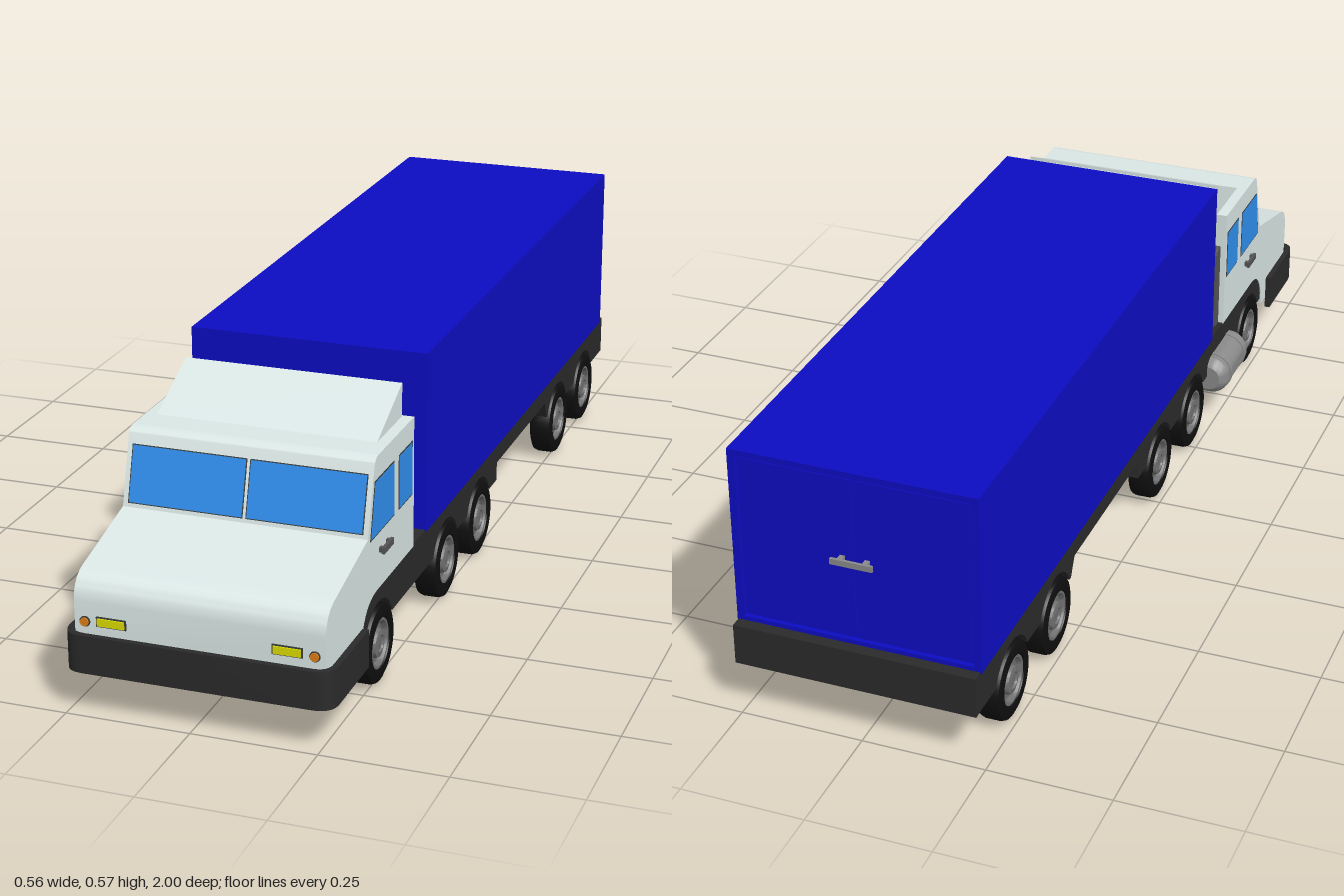
import * as THREE from 'three';
import { toCreasedNormals } from 'three/addons/utils/BufferGeometryUtils.js';

const mat = (color, side = THREE.FrontSide) => new THREE.MeshStandardMaterial({ color, side });
const M = {
  cab: mat(0xdbe8e6), cargo: mat(0x0d0dc4), dark: mat(0x2b2b2b), tyre: mat(0x0f0f0f, THREE.DoubleSide),
  glass: mat(0x2f8ff0), trim: mat(0x3a3f40), grey: mat(0x8a8a8a), steel: mat(0x555555),
  yellow: mat(0xdede00), orange: mat(0xe08018),
};

export function createModel() {
  const model = new THREE.Group();
  model.name = 'truck';
  const body = new THREE.Group();
  body.name = 'truckBody';
  body.position.x = 0.012; // the side tank widens one side only
  model.add(body);

  const add = (name, geo, material, x = 0, y = 0, z = 0, parent = body) => {
    const mesh = new THREE.Mesh(geo, material);
    mesh.name = name;
    mesh.position.set(x, y, z);
    parent.add(mesh);
    return mesh;
  };
  const box = (name, m, w, h, d, x, y, z) => add(name, new THREE.BoxGeometry(w, h, d), m, x, y, z);
  // Side profile in (z, y), extruded across x from x0 to x1
  const prism = (name, m, profile, x0, x1) => {
    const shape = Array.isArray(profile) ? new THREE.Shape(profile.map(p => new THREE.Vector2(...p))) : profile;
    let geo = new THREE.ExtrudeGeometry(shape, { depth: x1 - x0, bevelEnabled: false, curveSegments: 10 });
    geo.rotateY(-Math.PI / 2).translate(x1, 0, 0);
    return add(name, toCreasedNormals(geo, 0.6), m);
  };
  const rod = (name, m, r, len, x, y, z, axis = 'x', seg = 24) => {
    const geo = new THREE.CylinderGeometry(r, r, len, seg);
    if (axis === 'x') geo.rotateZ(Math.PI / 2);
    if (axis === 'z') geo.rotateX(Math.PI / 2);
    return add(name, geo, m, x, y, z);
  };

  const W = 0.247; // half width of cab and cargo box
  const wheelZ = [0.683, 0.265, 0.035, -0.593, -0.823];

  // Chassis: central pan with dropped axle sections
  prism('chassisPan', M.dark, [
    [-1, 0.2], [-1, 0.115], [-0.95, 0.115], [-0.9, 0.06], [-0.535, 0.06], [-0.485, 0.155], [-0.1, 0.155],
    [-0.1, 0.115], [-0.06, 0.06], [0.33, 0.06], [0.38, 0.11], [0.56, 0.11], [0.61, 0.06], [0.76, 0.06],
    [0.8, 0.095], [0.97, 0.095], [0.97, 0.16], [0.8, 0.2],
  ], -0.176, 0.176);

  // Outer skirts with an arch over every wheel
  const skirt = new THREE.Shape();
  const arch = z => skirt.absarc(z, 0.08, 0.088, Math.PI - 0.409, 0.409, true);
  skirt.moveTo(-1, 0.2);
  skirt.lineTo(-1, 0.115);
  arch(wheelZ[4]);
  arch(wheelZ[3]);
  [[-0.505, 0.115], [-0.485, 0.155], [-0.1, 0.155], [-0.1, 0.115]].forEach(p => skirt.lineTo(...p));
  arch(wheelZ[2]);
  arch(wheelZ[1]);
  arch(wheelZ[0]);
  skirt.lineTo(0.785, 0.115);
  skirt.lineTo(0.785, 0.2);
  skirt.closePath();
  prism('rightSkirt', M.dark, skirt, -W + 0.002, -0.176);
  prism('leftSkirt', M.dark, skirt, 0.176, W - 0.002);

  // Wheels: lathed tyre and stepped dish, the outer face toward +y before turning
  const v = pts => pts.map(p => new THREE.Vector2(...p));
  const tyreGeo = toCreasedNormals(new THREE.LatheGeometry(v([
    [0, -0.024], [0.068, -0.026], [0.077, -0.022], [0.08, -0.014], [0.08, 0.014],
    [0.077, 0.022], [0.068, 0.026], [0.052, 0.024], [0.047, 0.01],
  ]), 36), 0.7);
  const rimGeo = toCreasedNormals(new THREE.LatheGeometry(v([
    [0.05, 0.01], [0.05, 0.022], [0.045, 0.022], [0.04, 0.012], [0.03, 0.012], [0.027, 0.022],
    [0.017, 0.024], [0.015, 0.02], [0, 0.02],
  ]), 36), 0.5);
  const rimMat = mat(0x707070, THREE.DoubleSide);
  for (const z of wheelZ) {
    rod('axle', M.grey, 0.016, 0.42, 0, 0.078, z);
    for (const s of [-1, 1]) {
      const wheel = new THREE.Group();
      wheel.name = s > 0 ? 'leftWheel' : 'rightWheel';
      wheel.position.set(s * 0.226, 0.081, z);
      wheel.rotation.z = -s * Math.PI / 2;
      body.add(wheel);
      add('tyre', tyreGeo, M.tyre, 0, 0, 0, wheel);
      add('rim', rimGeo, rimMat, 0, 0, 0, wheel);
    }
  }

  // Cab shell
  const cab = new THREE.Shape();
  cab.moveTo(0.48, 0.198);
  cab.lineTo(0.7, 0.198);
  cab.quadraticCurveTo(0.782, 0.195, 0.79, 0.1);
  cab.lineTo(0.975, 0.1);
  cab.lineTo(0.977, 0.225);
  cab.bezierCurveTo(0.974, 0.26, 0.955, 0.275, 0.92, 0.281);
  cab.lineTo(0.75, 0.322);
  cab.lineTo(0.713, 0.453);
  cab.quadraticCurveTo(0.708, 0.469, 0.69, 0.469);
  cab.lineTo(0.48, 0.469);
  cab.closePath();
  prism('cab', M.cab, cab, -W, W);

  // Side windows on both doors
  prism('frontWindowSeal', M.trim, [[0.738, 0.312], [0.712, 0.424], [0.6, 0.424], [0.6, 0.312]], -W - 0.0008, W + 0.0008);
  prism('frontSideWindow', M.glass, [[0.734, 0.315], [0.71, 0.421], [0.603, 0.421], [0.603, 0.315]], -W - 0.0016, W + 0.0016);
  prism('rearWindowSeal', M.trim, [[0.573, 0.312], [0.573, 0.424], [0.491, 0.424], [0.491, 0.312]], -W - 0.0008, W + 0.0008);
  prism('rearSideWindow', M.glass, [[0.57, 0.315], [0.57, 0.421], [0.494, 0.421], [0.494, 0.315]], -W - 0.0016, W + 0.0016);

  for (const s of [-1, 1]) {
    // Windscreen half, tilted with the cab front
    box('windscreenSeal', M.trim, 0.234, 0.114, 0.004, s * 0.12, 0.384, 0.7315).rotation.x = -0.275;
    box('windscreen', M.glass, 0.23, 0.11, 0.006, s * 0.12, 0.384, 0.7315).rotation.x = -0.275;
    // Door handle
    box('doorHandle', M.steel, 0.006, 0.013, 0.055, s * 0.256, 0.276, 0.662);
    for (const dz of [-0.02, 0.02]) box('handlePost', M.steel, 0.012, 0.01, 0.01, s * 0.25, 0.276, 0.662 + dz);
    // Headlight and turn signal
    box('headlightFrame', M.trim, 0.06, 0.02, 0.006, s * 0.173, 0.188, 0.976);
    box('headlight', M.yellow, 0.054, 0.015, 0.012, s * 0.173, 0.188, 0.976);
    rod('signalRing', M.trim, 0.0105, 0.006, s * 0.226, 0.185, 0.976, 'z');
    rod('turnSignal', M.orange, 0.0085, 0.012, s * 0.226, 0.185, 0.976, 'z');
    // Deflector cheek
    const x = s * 0.221;
    prism('deflectorCheek', M.cab, [[0.635, 0.467], [0.485, 0.536], [0.485, 0.467]], x - 0.003, x + 0.003);
  }
  // Sloping roof deflector, open at the back
  prism('roofDeflector', M.cab, [[0.635, 0.467], [0.485, 0.537], [0.485, 0.53], [0.62, 0.467]], -0.224, 0.224);

  // Panel behind the cab
  const panel = new THREE.Shape();
  panel.moveTo(0.481, 0.198);
  panel.lineTo(0.481, 0.392);
  panel.lineTo(0.47, 0.392);
  panel.quadraticCurveTo(0.456, 0.39, 0.456, 0.375);
  panel.lineTo(0.456, 0.198);
  prism('rearCabPanel', M.steel, panel, -0.235, 0.235);

  // Wrap-around bumper, a thin rounded U
  const U = new THREE.Shape();
  const o = 0.266, i = 0.254, b = -0.8, f = -0.998, g = -0.986;
  U.moveTo(o, b);
  U.lineTo(o, f + 0.04);
  U.quadraticCurveTo(o, f, o - 0.04, f);
  U.lineTo(-o + 0.04, f);
  U.quadraticCurveTo(-o, f, -o, f + 0.04);
  U.lineTo(-o, b);
  U.lineTo(-i, b);
  U.lineTo(-i, g - -0.03);
  U.quadraticCurveTo(-i, g, -i + 0.03, g);
  U.lineTo(i - 0.03, g);
  U.quadraticCurveTo(i, g, i, g + 0.03);
  U.lineTo(i, b);
  U.closePath();
  const bumper = new THREE.ExtrudeGeometry(U, { depth: 0.077, bevelEnabled: false, curveSegments: 8 });
  bumper.rotateX(-Math.PI / 2);
  add('bumper', toCreasedNormals(bumper, 0.6), M.dark, 0, 0.088, 0);
  box('bumperMount', M.dark, 0.48, 0.05, 0.185, 0, 0.121, 0.89);

  // Side tank with stepped caps and straps
  const tank = new THREE.LatheGeometry(v([
    [0, -0.09], [0.028, -0.09], [0.036, -0.084], [0.044, -0.07], [0.044, 0.07],
    [0.036, 0.084], [0.028, 0.09], [0, 0.09],
  ]), 28).rotateX(Math.PI / 2);
  add('sideTank', toCreasedNormals(tank, 0.5), M.grey, -0.246, 0.11, 0.465);
  for (const dz of [-0.05, 0.05]) rod('tankStrap', M.grey, 0.046, 0.01, -0.246, 0.11, 0.465 + dz, 'z', 28);

  // Cargo box with framed rear doors
  box('cargoBox', M.cargo, 2 * W, 0.374, 1.366, 0, 0.383, -0.283);
  for (const s of [-1, 1]) {
    box('rearFramePost', M.cargo, 0.015, 0.374, 0.014, s * (W - 0.0075), 0.383, -0.969);
    box('rearDoor', M.cargo, 0.222, 0.34, 0.008, s * 0.1145, 0.383, -0.968);
  }
  for (const y of [0.2025, 0.5635]) box('rearFrameRail', M.cargo, 2 * W, 0.013, 0.014, 0, y, -0.969);
  box('doorLatch', M.grey, 0.085, 0.012, 0.006, 0, 0.384, -0.989);
  for (const x of [-0.025, 0.025]) box('latchPost', M.grey, 0.01, 0.01, 0.018, x, 0.384, -0.979);

  return model;
}
